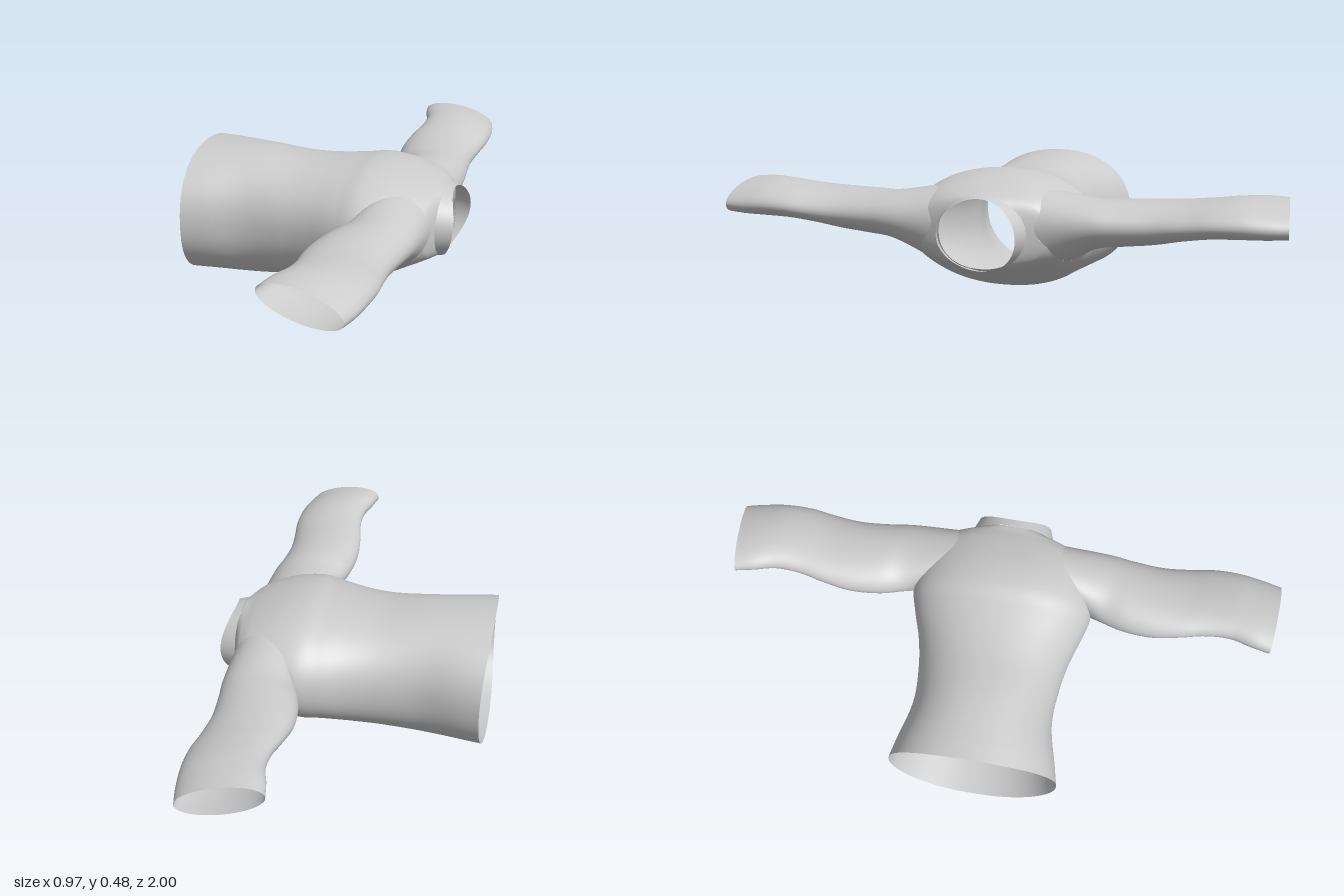
import * as THREE from 'three';

const material = new THREE.MeshStandardMaterial({ color: 0xcccccc, side: THREE.DoubleSide });

// Tube surface: point(i, j) for rows i = 0..rows and columns j, closed around j
function tube(name, rows, cols, point, keep = () => true) {
  const pos = [], index = [];
  for (let i = 0; i <= rows; i++)
    for (let j = 0; j < cols; j++) pos.push(...point(i, j));
  for (let i = 0; i < rows; i++)
    for (let j = 0; j < cols; j++) {
      const k = (j + 1) % cols;
      const quad = [[i, j], [i + 1, j], [i + 1, k], [i, k]];
      for (const t of [[0, 1, 3], [1, 2, 3]])
        if (keep(t.map(n => quad[n]))) index.push(...t.map(n => quad[n][0] * cols + quad[n][1]));
    }
  const geo = new THREE.BufferGeometry();
  geo.setAttribute('position', new THREE.Float32BufferAttribute(pos, 3));
  geo.setIndex(index);
  geo.computeVertexNormals();
  const mesh = new THREE.Mesh(geo, material);
  mesh.name = name;
  return mesh;
}

// Torso stations from hem to neck: x, bottom y, top y, half width
const stations = [
  [-0.467, 0.003, 0.48, 0.30], [-0.40, 0.003, 0.48, 0.285], [-0.25, 0.003, 0.475, 0.252],
  [-0.10, 0.02, 0.46, 0.26], [0, 0.033, 0.46, 0.28], [0.10, 0.05, 0.467, 0.312],
  [0.17, 0.056, 0.475, 0.33], [0.25, 0.085, 0.466, 0.325], [0.32, 0.12, 0.446, 0.31],
  [0.37, 0.143, 0.428, 0.28], [0.405, 0.155, 0.413, 0.23], [0.43, 0.16, 0.405, 0.15],
];
const RINGS = 110, AROUND = 112, POWER = 2.2;
const lerp = THREE.MathUtils.lerp;
const sgnPow = (v, p) => Math.sign(v) * Math.abs(v) ** p;

// Smooth rings {x, c, h, w}: position, centre height, half height, half width
const curveOf = pick => new THREE.CatmullRomCurve3(stations.map(pick));
const edge = curveOf(s => new THREE.Vector3(s[0], s[1], s[2]));
const width = curveOf(s => new THREE.Vector3(s[0], s[3], 0));
const rings = [];
for (let i = 0; i <= RINGS; i++) {
  const e = edge.getPoint(i / RINGS), w = width.getPoint(i / RINGS);
  rings.push({ x: e.x, c: (e.y + e.z) / 2, h: (e.z - e.y) / 2, w: w.y });
}

// Torso side surface: z at a given x, y
function sideZ(x, y) {
  let i = 0;
  while (i < RINGS - 1 && rings[i + 1].x < x) i++;
  const a = rings[i], b = rings[i + 1];
  const t = THREE.MathUtils.clamp((x - a.x) / (b.x - a.x), 0, 1);
  const v = Math.min(1, Math.abs(y - lerp(a.c, b.c, t)) / lerp(a.h, b.h, t));
  return lerp(a.w, b.w, t) * (1 - v ** POWER) ** (1 / POWER);
}

// Elliptical armhole seen from the side
const arm = { x: 0.295, y: 0.3, rx: 0.125, ry: 0.118 };

function torsoPoint(i, j) {
  const r = rings[i], a = j / AROUND * Math.PI * 2;
  const s = sgnPow(Math.sin(a), 2 / POWER), c = sgnPow(Math.cos(a), 2 / POWER);
  const fade = Math.max(0, 1 - i / 25);
  return [r.x - 0.017 * s * s * fade, r.c + r.h * s, r.w * c];
}
const armRadius = p => Math.hypot((p[0] - arm.x) / arm.rx, (p[1] - arm.y) / arm.ry);

function makeTorso() {
  const inside = ([i, j]) => armRadius(torsoPoint(i, j)) < 1;
  // Points within the armhole move out to its rim, and faces wholly within are left out
  return tube('torso', RINGS, AROUND, (i, j) => {
    const p = torsoPoint(i, j), q = armRadius(p);
    if (q >= 1 || q < 1e-4) return p;
    const x = arm.x + (p[0] - arm.x) / q, y = arm.y + (p[1] - arm.y) / q;
    return [x, y, Math.sign(p[2]) * sideZ(x, y)];
  }, tri => !tri.every(inside));
}

// Sleeve sections: z, min x, max x, min y, max y, tilt
const sleeveSections = [
  [0.37, 0.15, 0.412, 0.222, 0.402, 0.0], [0.45, 0.125, 0.402, 0.232, 0.40, 0.03],
  [0.56, 0.113, 0.393, 0.245, 0.40, 0.06], [0.66, 0.122, 0.40, 0.268, 0.402, 0.1],
  [0.75, 0.137, 0.41, 0.283, 0.41, 0.12], [0.84, 0.137, 0.408, 0.288, 0.418, 0.15],
  [0.92, 0.115, 0.397, 0.292, 0.416, 0.18], [0.985, 0.102, 0.382, 0.296, 0.41, 0.18],
];

function makeSleeve(name, side) {
  const cols = 72, rows = 64;
  const lines = Array.from({ length: cols }, (_, j) => {
    const a = -j / cols * Math.PI * 2, c = Math.cos(a), s = Math.sin(a);
    const x0 = arm.x + arm.rx * c, y0 = arm.y + arm.ry * s;
    const pts = [new THREE.Vector3(x0, y0, sideZ(x0, y0))];
    sleeveSections.forEach(([z, x1, x2, y1, y2, tilt], n) => {
      const dx = (x2 - x1) / 2 * c;
      const slant = n / (sleeveSections.length - 1) * 0.1;
      pts.push(new THREE.Vector3((x1 + x2) / 2 + dx,
        (y1 + y2) / 2 + (y2 - y1) / 2 * 0.93 * s - tilt * dx, z + slant * dx));
    });
    return new THREE.CatmullRomCurve3(pts);
  });
  const mesh = tube(name, rows, cols, (i, j) => lines[j].getPoint(i / rows).toArray());
  mesh.scale.z = side;
  return mesh;
}

// Collar band standing around the neck opening, tallest at the sides
function makeCollar() {
  const cols = 72, rows = 6;
  return tube('collar', rows, cols, (i, j) => {
    const a = j / cols * Math.PI * 2, s = Math.sin(a), c = Math.cos(a), t = i / rows;
    const base = 0.41 + 0.02 * s + 0.012 * c * c;
    const tip = 0.445 + 0.013 * s + 0.041 * c * c;
    return [lerp(base, tip, t), 0.276 + lerp(0.131, 0.124, t) * s, lerp(0.16, 0.138, t) * c];
  });
}

export function createModel() {
  const group = new THREE.Group();
  group.name = 'shirt';
  group.add(makeTorso(), makeSleeve('frontSleeve', 1), makeSleeve('backSleeve', -1), makeCollar());
  return group;
}
